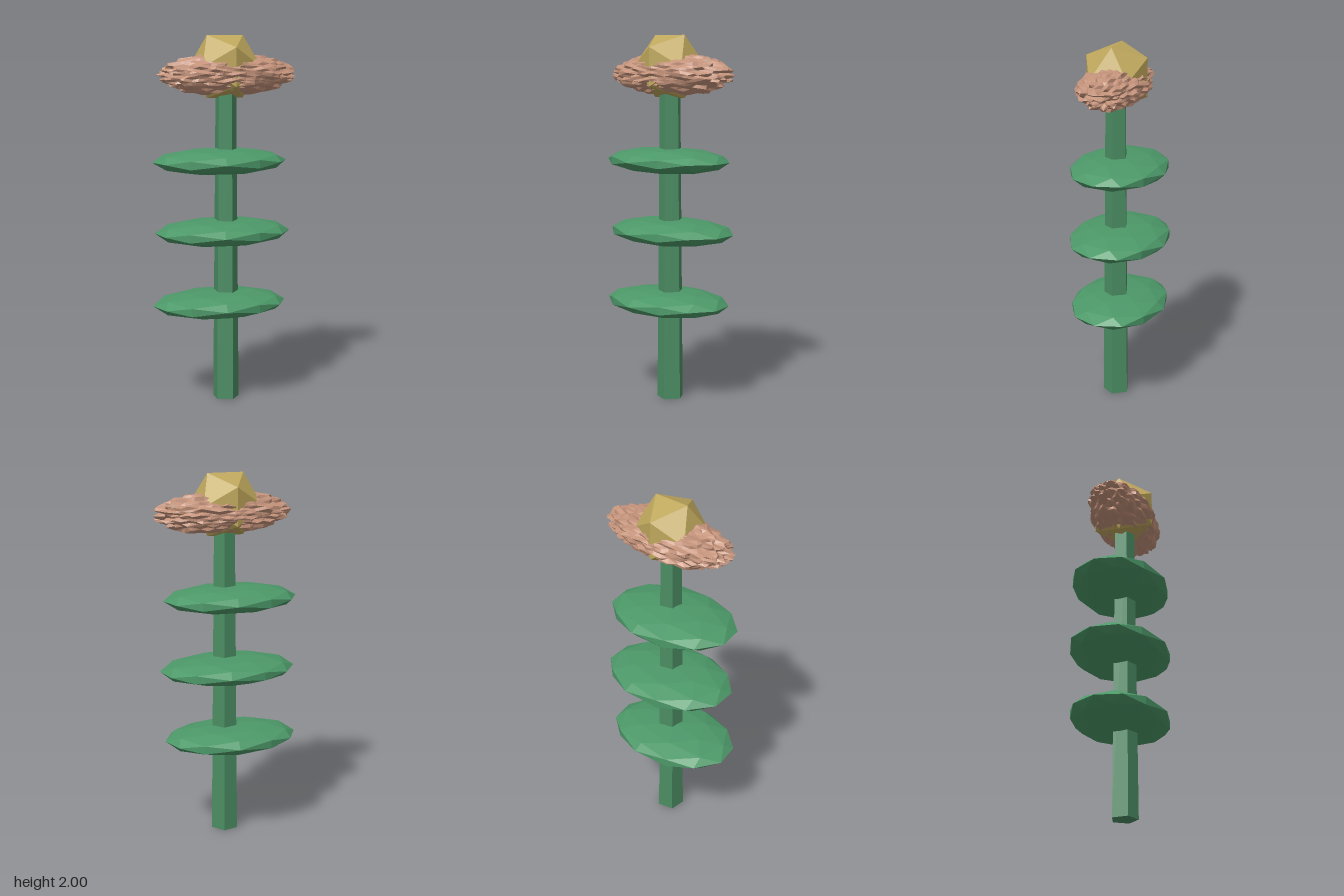
import * as THREE from 'three';
import { mergeVertices } from 'three/addons/utils/BufferGeometryUtils.js';

function mat(color) {
  return new THREE.MeshStandardMaterial({ color, flatShading: true });
}

function seeded(seed) {
  return () => {
    seed = (seed * 16807) % 2147483647;
    return seed / 2147483647;
  };
}

// Icosphere, turned about y and then stretched into an ellipsoid
function ellipsoid(detail, turn, sx, sy, sz) {
  return new THREE.IcosahedronGeometry(1, detail).rotateY(turn).scale(sx, sy, sz);
}

// Bristly bloom: an ellipsoid whose vertices are pulled in or out at random
function bloomGeometry() {
  let geo = new THREE.IcosahedronGeometry(1, 8);
  geo.deleteAttribute('normal');
  geo.deleteAttribute('uv');
  geo = mergeVertices(geo, 1e-4);
  const rand = seeded(4711);
  const p = geo.attributes.position;
  const v = new THREE.Vector3();
  for (let i = 0; i < p.count; i++) {
    v.fromBufferAttribute(p, i);
    const r = 0.87 + 0.16 * rand();
    // Fuller shoulders along the long axis
    const full = 1 + 0.1 * Math.sin(Math.PI * Math.min(1, Math.abs(v.x))) ** 2;
    p.setXYZ(i, v.x * r * 0.4, v.y * r * full * 0.106, v.z * r * 0.185);
  }
  geo = geo.toNonIndexed();
  geo.computeVertexNormals();
  return geo;
}

export function createModel() {
  const group = new THREE.Group();
  const add = (name, geometry, material, x, y, z) => {
    const mesh = new THREE.Mesh(geometry, material);
    mesh.name = name;
    mesh.position.set(x, y, z);
    group.add(mesh);
    return mesh;
  };

  // Five-sided tapering stem
  const stem = new THREE.CylinderGeometry(0.059, 0.075, 1.72, 5).rotateY(0.21);
  add('stem', stem, mat(0x4b8d63), 0, 0.86, 0.012);

  // Three flat oval leaves threaded on the stem: y, x, z, turn, half width, half depth
  const leafMat = mat(0x4c9868);
  [
    [0.5375, -0.032, 0.001, -0.15, 0.378, 0.27],
    [0.9325, -0.01, -0.006, -0.235, 0.382, 0.278],
    [1.3225, -0.03, 0.001, -0.17, 0.378, 0.27],
  ].forEach(([y, x, z, turn, w, d], i) => {
    add('leaf' + (i + 1), ellipsoid(1, turn, w, 0.0725, d), leafMat, x, y, z);
  });

  // Bristly oval bloom around the faceted heart
  add('bloom', bloomGeometry(), mat(0xc4937b), 0.012, 1.79, 0.012);
  add('heart', new THREE.IcosahedronGeometry(0.197, 0), mat(0xbfa75c), -0.005, 1.8325, 0.012);

  return group;
}
